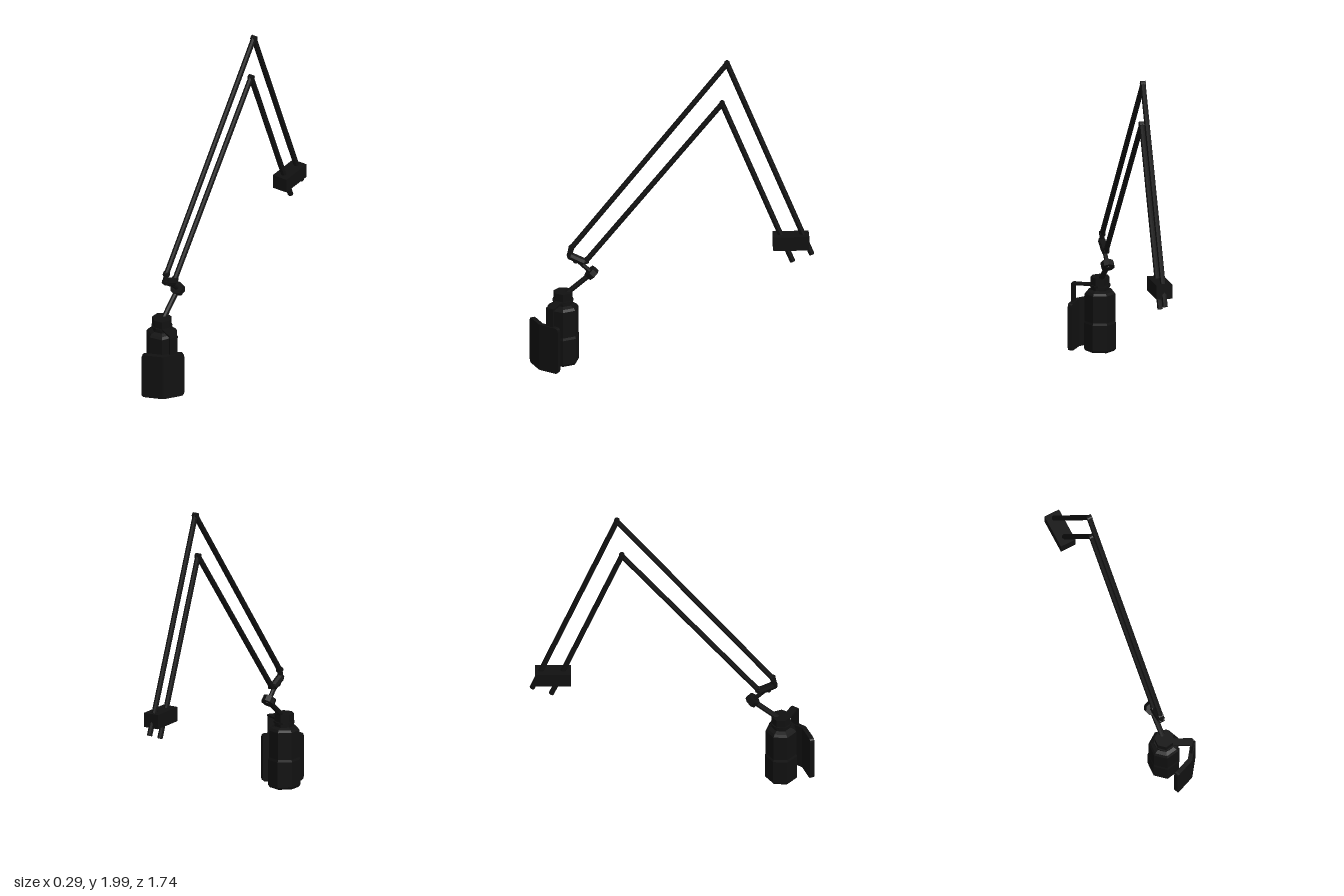
import * as THREE from 'three';

const ARM_X = -0.05;
const UP = new THREE.Vector3(0, 1, 0);
const black = new THREE.MeshStandardMaterial({ color: 0x111111, flatShading: true });

function add(parent, name, geometry, x = 0, y = 0, z = 0) {
  const mesh = new THREE.Mesh(geometry, black);
  mesh.name = name;
  mesh.position.set(x, y, z);
  parent.add(mesh);
  return mesh;
}

// Straight rod between two [z, y] points in the plane of the arm
function rod(parent, name, a, b, radius = 0.017, sides = 8) {
  const p = new THREE.Vector3(ARM_X, a[1], a[0]);
  const q = new THREE.Vector3(ARM_X, b[1], b[0]);
  const dir = q.clone().sub(p);
  const geometry = new THREE.CylinderGeometry(radius, radius, dir.length(), sides);
  const mesh = add(parent, name, geometry, ARM_X, (a[1] + b[1]) / 2, (a[0] + b[0]) / 2);
  mesh.quaternion.setFromUnitVectors(UP, dir.normalize());
  return mesh;
}

// Small round pin across the arm, closing the bend between two rods
function pin(parent, name, [z, y], radius = 0.017) {
  const geometry = new THREE.CylinderGeometry(radius, radius, 0.032, 10).rotateZ(Math.PI / 2);
  return add(parent, name, geometry, ARM_X, y, z);
}

// Half of the bent pop screen: the seam edge is square, the outer corners are cut round
function screenHalf(length, height) {
  const r = 0.022;
  const shape = new THREE.Shape();
  shape.moveTo(0, 0);
  shape.lineTo(length - r, 0);
  shape.quadraticCurveTo(length, 0, length, r);
  shape.lineTo(length, height - r);
  shape.quadraticCurveTo(length, height, length - r, height);
  shape.lineTo(0, height);
  const depth = 0.028;
  return new THREE.ExtrudeGeometry(shape, { depth, bevelEnabled: false, curveSegments: 3 })
    .translate(0, 0, -depth / 2);
}

export function createModel() {
  const model = new THREE.Group();
  model.name = 'boomMicrophone';

  // Folding arm: one bent rod that loops round at its front end
  const arm = new THREE.Group();
  arm.name = 'boomArm';
  model.add(arm);
  const path = [
    [-0.852, 0.705], [-0.335, 1.98], [0.617, 0.775], [0.627, 0.725],
    [0.59, 0.695], [0.525, 0.69], [-0.305, 1.715], [-0.735, 0.66],
  ];
  for (let i = 0; i < path.length - 1; i++) {
    rod(arm, 'armRod', path[i], path[i + 1]);
    if (i > 0) pin(arm, 'armBend', path[i]);
  }
  rod(arm, 'elbowLink', [0.625, 0.725], [0.54, 0.682], 0.025);

  // Clamp block at the rear
  add(arm, 'clampBlock', new THREE.BoxGeometry(0.1, 0.09, 0.22), ARM_X, 0.795, -0.725);

  // Swivel: short link, octagonal knob and stem down to the microphone
  const swivel = new THREE.Group();
  swivel.name = 'swivel';
  model.add(swivel);
  rod(swivel, 'swivelLink', [0.575, 0.69], [0.475, 0.592], 0.014);
  rod(swivel, 'swivelKnob', [0.507, 0.622], [0.479, 0.594], 0.042);
  rod(swivel, 'stem', [0.67, 0.455], [0.475, 0.62]);

  // Microphone: seven-sided body with shoulder, neck and pointed underside
  const profile = [
    [0, 0.005], [0.09, 0.025], [0.101, 0.04], [0.101, 0.2], [0.096, 0.215],
    [0.096, 0.385], [0.085, 0.4], [0.06, 0.41], [0.06, 0.49], [0, 0.49],
  ].map(([r, y]) => new THREE.Vector2(r, y));
  const mic = new THREE.Group();
  mic.name = 'microphone';
  mic.position.set(ARM_X, 0, 0.667);
  model.add(mic);
  const body = add(mic, 'microphoneBody', new THREE.LatheGeometry(profile, 7));
  body.rotation.y = THREE.MathUtils.degToRad(-16);
  add(mic, 'neckCollar', new THREE.CylinderGeometry(0.064, 0.064, 0.012, 14), 0, 0.435, 0);

  // Pop screen: two panels meeting at a seam, held by an angled bracket
  const filter = new THREE.Group();
  filter.name = 'popFilter';
  model.add(filter);
  const seam = [0.055, 0.807];
  for (const [x, z] of [[0.132, 0.7], [-0.068, 0.857]]) {
    const dx = x - seam[0], dz = z - seam[1];
    const half = add(filter, 'screenPanel', screenHalf(Math.hypot(dx, dz), 0.3), seam[0], 0.02, seam[1]);
    half.rotation.y = Math.atan2(-dz, dx);
  }
  add(filter, 'screenSeam', new THREE.CylinderGeometry(0.014, 0.014, 0.3, 8), seam[0], 0.17, seam[1]);

  const bar = add(filter, 'bracketBar', new THREE.BoxGeometry(0.165, 0.012, 0.045), 0.028, 0.435, 0.712);
  bar.rotation.y = -0.46;
  const strip = add(filter, 'bracketStrip', new THREE.BoxGeometry(0.05, 0.2, 0.014), 0.094, 0.341, 0.753);
  strip.rotation.y = Math.atan2(0.107, 0.077);

  return model;
}
